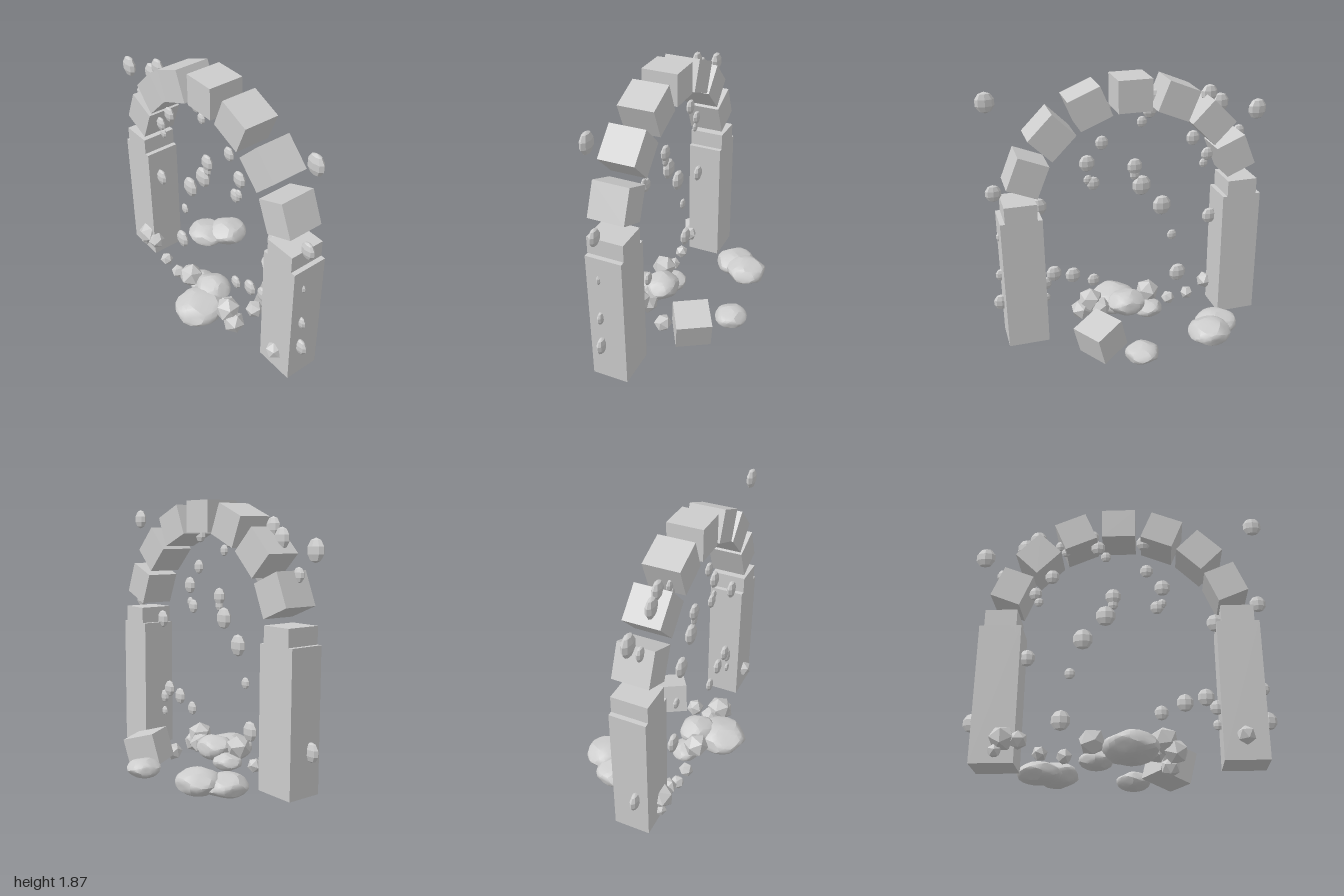
import * as THREE from 'three';
import { mergeVertices, toCreasedNormals } from 'three/addons/utils/BufferGeometryUtils.js';

export function createModel() {
  const model = new THREE.Group();
  model.name = 'ruinedArch';
  const stone = new THREE.MeshStandardMaterial({ color: 0xcccccc });
  stone.name = 'grey stone';

  const add = (name, geometry, x, y, z, parent = model) => {
    const mesh = new THREE.Mesh(geometry, stone);
    mesh.name = name;
    mesh.position.set(x, y, z);
    parent.add(mesh);
    return mesh;
  };

  const archZ = 0.113, depth = 0.245;

  // Two square pillars
  const pillar = new THREE.BoxGeometry(0.28, 0.935, depth);
  add('leftPillar', pillar, 0.78, 0.5125, archZ);
  add('rightPillar', pillar, -0.78, 0.5125, archZ);

  // Nine blocks around a half circle; the end blocks sink into the pillars
  const block = new THREE.BoxGeometry(0.23, 0.215, depth);
  const arch = new THREE.Group();
  arch.name = 'archBlocks';
  model.add(arch);
  for (let i = -4; i <= 4; i++) {
    const a = i * Math.PI / 8;
    add('archBlock', block, 0.78 * Math.sin(a), 0.98 + 0.78 * Math.cos(a), archZ, arch).rotation.z = -a;
  }

  // Fallen block behind the arch
  const fallen = add('fallenBlock', block, 0.315, 0.135, -0.2);
  fallen.rotation.set(0, 0.54, -0.27, 'YXZ');

  // Flat pebbles floating in one plane: x, y, height
  const pebble = toCreasedNormals(new THREE.SphereGeometry(0.5, 8, 5), 0.5);
  const pebbles = new THREE.Group();
  pebbles.name = 'floatingPebbles';
  model.add(pebbles);
  const placePebble = ([x, y, h]) =>
    add('pebble', pebble, x, y, 0.153, pebbles).scale.set(h * 0.92, h, h * 0.44);
  [
    [-0.935, 1.55, 0.15], [0.935, 1.755, 0.14], [-0.8, 1.4, 0.1], [-0.65, 1.62, 0.14],
    [-0.57, 1.69, 0.13], [-0.46, 1.385, 0.11], [-0.57, 1.255, 0.1], [-0.545, 1.19, 0.07],
    [-0.41, 1.63, 0.08], [-0.37, 1.58, 0.07], [-0.145, 1.61, 0.11], [-0.09, 1.535, 0.08],
    [-0.19, 1.7, 0.11], [0.17, 1.64, 0.11], [0.19, 1.415, 0.1], [0.295, 1.28, 0.12],
    [0.29, 1.16, 0.07], [0.255, 1.13, 0.1], [-0.04, 1.22, 0.12], [-0.04, 1.16, 0.08],
    [-0.09, 1.075, 0.15], [-0.24, 0.905, 0.15],
  ].forEach(placePebble);
  [
    [-0.32, 0.66, 0.08], [-0.605, 0.775, 0.12], [-0.37, 0.34, 0.14], [-0.935, 0.33, 0.13],
    [0.93, 1.14, 0.12], [0.64, 1.005, 0.13], [0.9, 0.82, 0.08], [0.92, 0.53, 0.09],
    [0.935, 0.315, 0.12], [0.555, 0.48, 0.12], [0.42, 0.445, 0.12], [0.27, 0.38, 0.1],
    [0.62, 0.41, 0.1], [0.62, 0.295, 0.07],
  ].forEach(placePebble);

  // Sharp rubble: x, y, z, radius
  const chunk = new THREE.IcosahedronGeometry(1, 0);
  const rubble = new THREE.Group();
  rubble.name = 'rubble';
  model.add(rubble);
  [
    [-0.72, 0.2, 0.23, 0.088], [-0.62, 0.19, 0.23, 0.062], [-0.76, 0.12, 0.24, 0.047],
    [-0.48, 0.1, 0.235, 0.05], [-0.33, 0.08, 0.235, 0.052], [-0.16, 0.17, 0.235, 0.09],
    [0.28, 0.17, 0.235, 0.092], [0.35, 0.1, 0.235, 0.08], [0.22, 0.12, 0.19, 0.08],
    [0.78, 0.2, 0.235, 0.062], [0.32, 0.065, 0.02, 0.065], [0.04, 0.09, 0.4, 0.075],
  ].forEach(([x, y, z, r], i) => {
    const m = add('rubbleChunk', chunk, x, y, z, rubble);
    m.scale.setScalar(r);
    m.rotation.set(i * 0.7, i * 1.1, i * 0.4);
  });

  // Rounded boulders with a few planes cut off
  const boulderShape = seed => {
    const g = new THREE.IcosahedronGeometry(1, 3);
    g.deleteAttribute('uv');
    g.deleteAttribute('normal');
    const merged = mergeVertices(g, 1e-4);
    const p = merged.attributes.position, v = new THREE.Vector3();
    const cuts = [];
    for (let k = 0; k < 9; k++) {
      const a = k * 2.4 + seed, h = 0.9 - k * 0.2, r = Math.sqrt(1 - h * h);
      cuts.push(new THREE.Vector3(r * Math.cos(a), h, r * Math.sin(a)));
    }
    for (let i = 0; i < p.count; i++) {
      v.fromBufferAttribute(p, i);
      cuts.forEach(c => {
        const over = v.dot(c) - 0.88;
        if (over > 0) v.addScaledVector(c, -over);
      });
      p.setXYZ(i, v.x, v.y, v.z);
    }
    return toCreasedNormals(merged, 0.45);
  };
  const boulders = new THREE.Group();
  boulders.name = 'boulders';
  model.add(boulders);
  [
    [0.08, 0.1, 0.33, 0.175, 0.1, 0.19],
    [0.02, 0.14, 0.17, 0.14, 0.09, 0.13],
    [-0.14, 0.075, 0.15, 0.11, 0.06, 0.1],
    [-0.545, 0.095, -0.2, 0.155, 0.075, 0.145],
    [-0.44, 0.115, -0.33, 0.15, 0.085, 0.15],
    [0.075, 0.085, -0.4, 0.12, 0.065, 0.115],
  ].forEach(([x, y, z, sx, sy, sz], i) =>
    add('boulder', boulderShape(i * 1.3), x, y, z, boulders).scale.set(sx, sy, sz));

  return model;
}
